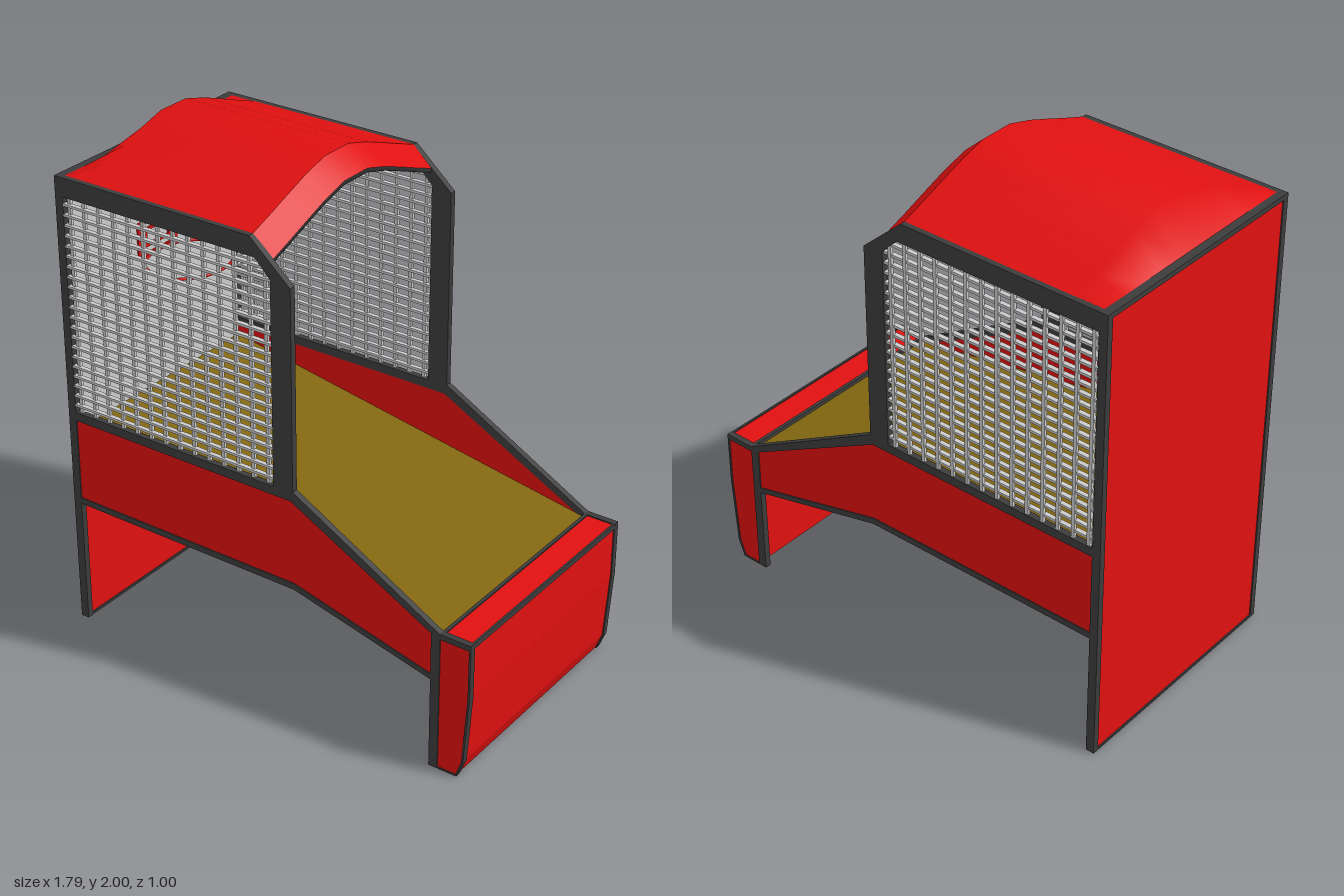
import * as THREE from 'three';

const mat = (color, side = THREE.FrontSide) => new THREE.MeshStandardMaterial({ color, side });
const RED = mat(0xe01010), DARK = mat(0x3c3c3c), OLIVE = mat(0x82670f), GREY = mat(0xcccccc);
const RED_SHEET = mat(0xe01010, THREE.DoubleSide), DARK_SHEET = mat(0x3c3c3c, THREE.DoubleSide);

const points = (list) => list.map(([x, y]) => new THREE.Vector2(x, y));

// Slab with an x-y outline, spanning z0..z1
function slab(name, outline, z0, z1, material, holes = []) {
  const shape = new THREE.Shape(points(outline));
  for (const h of holes) shape.holes.push(new THREE.Path(points(h)));
  const geo = new THREE.ExtrudeGeometry(shape, { depth: z1 - z0, bevelEnabled: false });
  geo.translate(0, 0, z0);
  const mesh = new THREE.Mesh(geo, material);
  mesh.name = name;
  return mesh;
}

// Box given by its limits
function box(name, [x0, x1], [y0, y1], [z0, z1], material) {
  const mesh = new THREE.Mesh(new THREE.BoxGeometry(x1 - x0, y1 - y0, z1 - z0), material);
  mesh.position.set((x0 + x1) / 2, (y0 + y1) / 2, (z0 + z1) / 2);
  mesh.name = name;
  return mesh;
}

// Arched sheet; each station is [x, edge height, rise]
const ARCH = [[-0.478, 0], [-0.38, 0.25], [-0.28, 0.52], [-0.18, 0.78], [-0.07, 1],
  [0.07, 1], [0.18, 0.78], [0.28, 0.52], [0.38, 0.25], [0.478, 0]];
function archSheet(name, stations, material) {
  const pos = [], index = [], n = ARCH.length;
  stations.forEach(([x, y, rise], s) => {
    ARCH.forEach(([z, t], i) => {
      pos.push(x, y + rise * t, z);
      if (s && i) {
        const a = (s - 1) * n + i - 1, b = a + n;
        index.push(a, a + 1, b, b, a + 1, b + 1);
      }
    });
  });
  const geo = new THREE.BufferGeometry();
  geo.setAttribute('position', new THREE.Float32BufferAttribute(pos, 3));
  geo.setIndex(index);
  geo.computeVertexNormals();
  const mesh = new THREE.Mesh(geo, material);
  mesh.name = name;
  return mesh;
}

// Rectangular outline painted on the backboard
function target(name, half, y0, y1, t) {
  const g = new THREE.Group();
  g.name = name;
  const x = [-0.866, -0.858];
  for (const y of [y0, y1 - t]) g.add(box('targetBar', x, [y, y + t], [-half, half], RED));
  for (const z of [-half, half - t]) g.add(box('targetBar', x, [y0, y1], [z, z + t], RED));
  return g;
}

// One side wall: dark frame, red infill panels and wire mesh
function sideWall(name, z0, z1) {
  const g = new THREE.Group();
  g.name = name;
  const frame = [[-0.9, 0], [-0.865, 0], [-0.865, 0.52], [0.14, 0.515], [0.73, 0.37], [0.73, 0],
    [0.848, 0], [0.875, 0.07], [0.894, 0.35], [0.894, 0.572], [0.765, 0.572], [0.14, 0.92],
    [0.14, 1.71], [-0.03, 1.86], [-0.9, 1.86]];
  const windowHole = [[-0.865, 0.915], [0.055, 0.915], [0.055, 1.72], [-0.01, 1.785], [-0.865, 1.785]];
  const apron = [[-0.865, 0.545], [0.14, 0.54], [0.73, 0.392], [0.73, 0.562], [0.13, 0.88], [-0.865, 0.88]];
  const boxEnd = [[0.767, 0.006], [0.843, 0.006], [0.867, 0.07], [0.886, 0.35], [0.886, 0.55], [0.767, 0.55]];
  g.add(slab('sideFrame', frame, z0, z1, DARK, [windowHole, apron, boxEnd]));
  const inset = 0.004;
  g.add(slab('apronPanel', apron, z0 + inset, z1 - inset, RED));
  g.add(slab('boxEndPanel', boxEnd, z0 + inset, z1 - inset, RED));

  // Wire mesh
  const mid = (z0 + z1) / 2, cols = 14, rows = 21;
  for (let i = 0; i < cols; i++) {
    const x = -0.845 + i * 0.067;
    const top = x > -0.02 ? 1.75 : 1.79;
    g.add(box('meshUpright', [x - 0.007, x + 0.007], [0.91, top], [mid - 0.009, mid + 0.003], GREY));
  }
  for (let i = 0; i < rows; i++) {
    const y = 0.945 + i * 0.0405;
    const end = y > 1.72 ? 0.055 - (y - 1.72) : 0.06;
    g.add(box('meshCrosswire', [-0.87, end], [y - 0.005, y + 0.005], [mid - 0.006, mid + 0.012], GREY));
  }
  return g;
}

export function createModel() {
  const model = new THREE.Group();
  model.name = 'hoopShootingGame';
  const W = 0.476, across = [-W, W];

  model.add(sideWall('leftSideWall', -0.5, -0.475), sideWall('rightSideWall', 0.475, 0.5));

  // Back wall with trims and backboard
  model.add(box('backPanel', [-0.895, -0.872], [0.008, 1.845], across, RED));
  model.add(box('backTopTrim', [-0.9, -0.866], [1.84, 1.86], across, DARK));
  model.add(box('backBottomTrim', [-0.9, -0.866], [0, 0.01], across, DARK));
  model.add(box('backboard', [-0.873, -0.865], [0.82, 1.84], across, GREY));
  model.add(target('outerTarget', 0.112, 1.39, 1.538, 0.014));
  model.add(target('innerTarget', 0.072, 1.428, 1.505, 0.011));

  // Hoop
  const hoop = new THREE.Mesh(new THREE.TorusGeometry(0.184, 0.006, 8, 40), RED);
  hoop.name = 'hoop';
  hoop.rotation.x = Math.PI / 2;
  hoop.scale.x = 0.83;
  hoop.position.set(-0.706, 1.396, 0);
  model.add(hoop);

  // Sloping ball deck and the underside below it
  model.add(slab('ballDeck', [[-0.87, 0.825], [0.77, 0.54], [0.77, 0.555], [-0.87, 0.84]], -W, W, OLIVE));
  model.add(slab('underside', [[-0.87, 0.528], [0.14, 0.523], [0.77, 0.368], [0.77, 0.383],
    [0.14, 0.538], [-0.87, 0.543]], -W, W, RED));

  // Front box
  model.add(slab('frontBox', [[0.767, 0.003], [0.845, 0.003], [0.87, 0.07], [0.889, 0.35],
    [0.889, 0.567], [0.767, 0.567]], -W, W, RED));
  model.add(box('boxRearTrim', [0.763, 0.777], [0.545, 0.572], across, DARK));
  model.add(box('boxFrontTrim', [0.884, 0.893], [0.55, 0.572], across, DARK));

  // Arched roof, hipped at the back, with a sloping visor and lip
  model.add(archSheet('roof', [[-0.868, 1.86, 0], [-0.76, 1.86, 0.14], [-0.03, 1.86, 0.14]], RED_SHEET));
  model.add(archSheet('visor', [[-0.03, 1.86, 0.14], [0.052, 1.785, 0.142]], RED_SHEET));
  model.add(archSheet('visorLip', [[0.052, 1.785, 0.142], [0.05, 1.768, 0.142], [0.035, 1.768, 0.142]], DARK_SHEET));

  return model;
}
